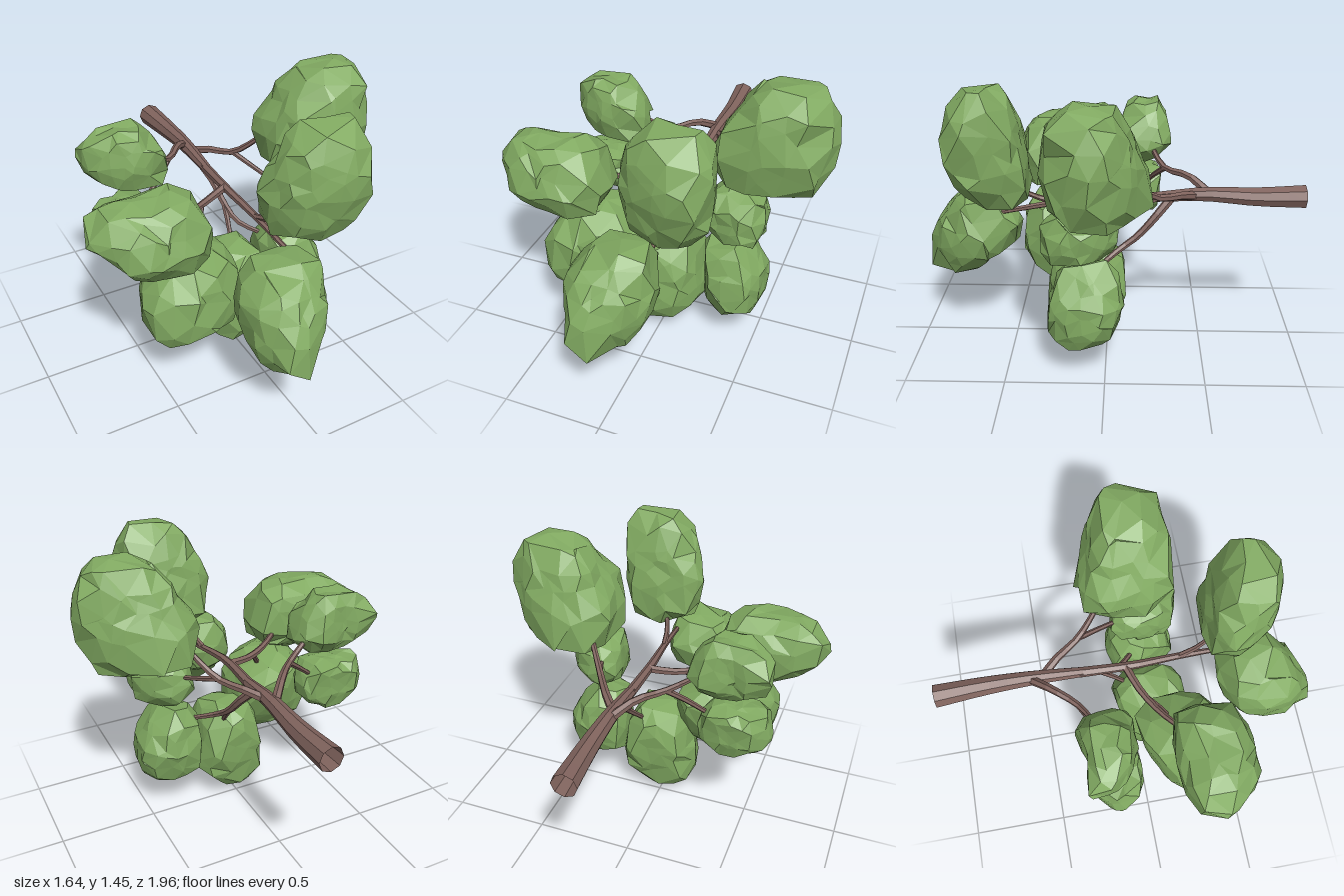
import * as THREE from 'three';
import { mergeVertices } from 'three/addons/utils/BufferGeometryUtils.js';

const leafMat = new THREE.MeshStandardMaterial({ color: 0x82ab62, flatShading: true });
const barkMat = new THREE.MeshStandardMaterial({ color: 0x80635d, flatShading: true, side: THREE.DoubleSide });

function seeded(seed) {
  let s = seed * 7919 + 17;
  return () => {
    s = (s * 16807) % 2147483647;
    return s / 2147483647;
  };
}

const middle = (outline, k) => {
  const v = outline.filter((_, i) => i % 2 === k);
  return (Math.min(...v) + Math.max(...v)) / 2;
};

// Distance from (cu, cv) along (du, dv) to a closed outline [u, v, u, v, ...]
function reach(outline, cu, cv, du, dv) {
  const n = outline.length;
  for (let i = 0; i < n; i += 2) {
    const au = outline[i] - cu, av = outline[i + 1] - cv;
    const eu = outline[(i + 2) % n] - cu - au, ev = outline[(i + 3) % n] - cv - av;
    const den = du * ev - dv * eu;
    const t = (au * ev - av * eu) / den;
    const s = (au * dv - av * du) / den;
    if (t > 0 && s >= -1e-6 && s <= 1 + 1e-6) return t;
  }
  return 1e3;
}

// Faceted leaf clump: a roughened ball that fills its front (x, y), side (z, y) and top (x, z) outlines
function leafClump(name, seed, front, side, top) {
  const rand = seeded(seed);
  for (let i = 0; i < 5; i++) rand();
  let geo = new THREE.IcosahedronGeometry(1, 2);
  geo.deleteAttribute('normal');
  geo.deleteAttribute('uv');
  geo = mergeVertices(geo, 1e-3);
  const cx = middle(front, 0), cy = middle(front, 1), cz = middle(top, 1);
  const pos = geo.attributes.position;
  const p = new THREE.Vector3();
  const jitter = (amount) => (rand() - 0.5) * amount;
  for (let i = 0; i < pos.count; i++) {
    p.fromBufferAttribute(pos, i);
    p.set(p.x + jitter(0.3), p.y + jitter(0.3), p.z + jitter(0.3)).normalize();
    const limits = [
      reach(front, cx, cy, p.x, p.y),
      reach(side, cz, cy, p.z, p.y),
      reach(top, cx, cz, p.x, p.z),
    ];
    const r = limits.reduce((sum, d) => sum + d ** -6, 0) ** (-1 / 6);
    p.multiplyScalar(r * (1.06 + jitter(0.11)));
    pos.setXYZ(i, cx + p.x, Math.max(0, cy + p.y), cz + p.z);
  }
  geo.computeVertexNormals();
  const mesh = new THREE.Mesh(geo, leafMat);
  mesh.name = name;
  return mesh;
}

// Tapered tube through the given points, from radius r0 to r1
function branch(name, points, r0, r1, sides = 6) {
  const curve = new THREE.CatmullRomCurve3(points.map((q) => new THREE.Vector3(...q)));
  const steps = points.length * 2;
  const geo = new THREE.TubeGeometry(curve, steps, 1, sides, false);
  const pos = geo.attributes.position;
  const p = new THREE.Vector3();
  for (let i = 0; i < pos.count; i++) {
    const t = Math.floor(i / (sides + 1)) / steps;
    const c = curve.getPointAt(t);
    p.fromBufferAttribute(pos, i).sub(c).multiplyScalar(r0 + (r1 - r0) * t).add(c);
    pos.setXYZ(i, p.x, p.y, p.z);
  }
  geo.computeVertexNormals();
  const mesh = new THREE.Mesh(geo, barkMat);
  mesh.name = name;
  return mesh;
}

export function createModel() {
  const model = new THREE.Group();
  model.name = 'leafyBranch';

  // Foliage
  const foliage = new THREE.Group();
  foliage.name = 'foliage';
  foliage.add(
    leafClump('upperLeftClump', 3,
      [0.2, 1, 0.22, 1.12, 0.42, 1.42, 0.55, 1.49, 0.66, 1.505, 0.74, 1.47, 0.855, 1.25, 0.76, 0.95, 0.4, 0.91],
      [0.26, 1.37, 0.12, 1.5, -0.02, 1.5, -0.07, 1.43, -0.14, 1.24, -0.25, 1.05, -0.25, 0.95, 0, 0.9, 0.27, 0.95, 0.3, 1.15],
      [0.21, -0.16, 0.42, -0.255, 0.56, -0.19, 0.79, -0.02, 0.855, 0.06, 0.71, 0.25, 0.46, 0.31, 0.24, 0.24]),
    leafClump('upperFrontClump', 4,
      [-0.09, 1.1, 0, 1.3, 0.1, 1.43, 0.22, 1.485, 0.35, 1.47, 0.42, 1.3, 0.42, 1.12, 0.35, 0.89, 0.19, 0.82, 0, 0.89],
      [0.58, 1.485, 0.48, 1.45, 0.4, 1.15, 0.36, 0.91, 0.44, 0.83, 0.6, 0.86, 0.68, 0.92, 0.79, 1.16, 0.79, 1.26, 0.73, 1.42],
      [-0.09, 0.5, -0.03, 0.39, 0.17, 0.33, 0.32, 0.37, 0.44, 0.61, 0.37, 0.76, 0.26, 0.78, 0.03, 0.69]),
    leafClump('sideRightClump', 5,
      [-0.86, 0.97, -0.84, 1.065, -0.55, 1.13, -0.34, 1.13, -0.22, 0.97, -0.2, 0.89, -0.27, 0.77, -0.41, 0.7, -0.6, 0.77, -0.75, 0.89],
      [0.53, 0.9, 0.45, 1.05, 0.36, 1.13, 0.2, 1.13, 0.1, 1, 0.12, 0.8, 0.25, 0.7, 0.45, 0.75],
      [-0.86, 0.26, -0.82, 0.2, -0.61, 0.1, -0.26, 0.13, -0.19, 0.34, -0.32, 0.49, -0.63, 0.53, -0.79, 0.34]),
    leafClump('backRightUpperClump', 6,
      [-0.66, 1.12, -0.5, 1.24, -0.34, 1.24, -0.21, 1.05, -0.22, 0.96, -0.35, 0.88, -0.6, 0.98],
      [-0.04, 1.1, -0.12, 1.24, -0.3, 1.23, -0.35, 1, -0.2, 0.88, -0.06, 0.92],
      [-0.66, -0.33, -0.58, -0.32, -0.45, -0.29, -0.32, -0.36, -0.21, -0.26, -0.2, -0.16, -0.26, -0.05, -0.45, -0.06, -0.66, -0.19]),
    leafClump('backRightLowerClump', 7,
      [-0.66, 0.7, -0.6, 0.61, -0.5, 0.57, -0.3, 0.6, -0.25, 0.75, -0.35, 0.86, -0.6, 0.84],
      [-0.3, 0.83, -0.28, 0.67, -0.26, 0.57, -0.14, 0.58, -0.04, 0.7, -0.04, 0.82, -0.16, 0.86],
      [-0.66, -0.2, -0.55, -0.3, -0.35, -0.31, -0.25, -0.2, -0.3, -0.05, -0.5, -0.02, -0.64, -0.1]),
    leafClump('frontClump', 8,
      [-0.27, 0.58, -0.22, 0.8, -0.06, 0.87, 0.12, 0.87, 0.185, 0.58, 0.1, 0.45, -0.04, 0.33, -0.2, 0.35],
      [1, 0.43, 0.98, 0.54, 0.81, 0.78, 0.73, 0.86, 0.52, 0.82, 0.44, 0.7, 0.465, 0.58, 0.63, 0.49, 0.73, 0.36, 0.82, 0.31, 0.98, 0.39],
      [-0.29, 0.66, -0.21, 0.53, -0.1, 0.45, 0.08, 0.4, 0.2, 0.71, 0.08, 0.85, -0.09, 1, -0.14, 0.98, -0.26, 0.77]),
    leafClump('lowerRightClump', 9,
      [-0.605, 0.55, -0.605, 0.43, -0.51, 0.29, -0.32, 0.29, -0.19, 0.25, -0.06, 0.3, 0, 0.6, -0.25, 0.76, -0.34, 0.77, -0.5, 0.66],
      [0.5, 0.43, 0.465, 0.6, 0.38, 0.78, 0.1, 0.78, -0.04, 0.7, -0.02, 0.55, 0.15, 0.3, 0.33, 0.25, 0.42, 0.32],
      [-0.6, 0.25, -0.55, 0.45, -0.38, 0.52, -0.28, 0.5, -0.13, 0.42, -0.02, 0.2, -0.1, -0.03, -0.23, -0.05, -0.4, 0.05]),
    leafClump('bottomClump', 10,
      [-0.19, 0.22, -0.19, 0.13, 0, 0, 0.165, 0.18, 0.235, 0.2, 0.21, 0.36, 0.14, 0.55, 0, 0.62, -0.12, 0.5, -0.18, 0.35],
      [0.33, 0.3, 0.32, 0.11, 0.1, 0, -0.05, 0.09, -0.07, 0.25, -0.12, 0.41, -0.11, 0.57, 0.05, 0.62, 0.25, 0.55],
      [-0.2, 0.1, -0.12, -0.05, 0.05, -0.1, 0.17, -0.13, 0.24, 0, 0.2, 0.2, 0.1, 0.33, -0.1, 0.33]),
    leafClump('lowerLeftClump', 11,
      [0.2, 0.36, 0.19, 0.57, 0.26, 0.63, 0.39, 0.64, 0.53, 0.45, 0.55, 0.36, 0.51, 0.22, 0.37, 0.14, 0.23, 0.15],
      [0.3, 0.35, 0.22, 0.62, -0.02, 0.65, -0.1, 0.43, -0.06, 0.27, 0.12, 0.15, 0.29, 0.25],
      [0.18, 0.05, 0.25, -0.1, 0.4, -0.11, 0.53, 0, 0.55, 0.15, 0.45, 0.29, 0.28, 0.3]),
    leafClump('middleLeftClump', 12,
      [0.22, 0.8, 0.22, 0.71, 0.3, 0.64, 0.39, 0.63, 0.52, 0.68, 0.54, 0.82, 0.51, 0.91, 0.35, 0.96, 0.26, 0.91],
      [0.315, 0.78, 0.3, 0.86, 0.17, 0.95, 0.04, 0.94, -0.07, 0.89, -0.08, 0.7, 0.14, 0.63, 0.3, 0.67],
      [0.22, 0.05, 0.28, -0.07, 0.42, -0.05, 0.54, 0.1, 0.55, 0.22, 0.45, 0.32, 0.27, 0.24])
  );
  model.add(foliage);

  // Main stem runs from the back to the front, open at its cut end
  const wood = new THREE.Group();
  wood.name = 'wood';
  wood.add(
    branch('mainStemBase', [[0.06, 0.86, -1], [0.07, 0.86, -0.75], [0.065, 0.87, -0.5], [0.06, 0.85, -0.25]], 0.062, 0.027, 8),
    branch('mainStemTip', [[0.06, 0.85, -0.27], [0.05, 0.85, 0], [0.07, 0.82, 0.25], [0.09, 0.77, 0.55]], 0.027, 0.012)
  );

  // Side branches and twigs: points, start radius, end radius
  [
    ['backRightBranch', [[0.06, 0.87, -0.52], [-0.03, 0.93, -0.42], [-0.14, 0.935, -0.3], [-0.3, 1.02, -0.22]], 0.024, 0.012],
    ['backRightTwig', [[-0.14, 0.935, -0.3], [-0.22, 0.87, -0.25], [-0.4, 0.72, -0.17]], 0.016, 0.01],
    ['upperLeftBranch', [[0.06, 0.86, -0.46], [0.14, 0.89, -0.37], [0.22, 0.91, -0.25], [0.34, 1.06, -0.1]], 0.024, 0.012],
    ['middleLeftTwig', [[0.22, 0.91, -0.25], [0.27, 0.87, -0.14], [0.36, 0.8, 0.08]], 0.015, 0.01],
    ['lowerBranch', [[0.06, 0.85, -0.33], [0.1, 0.76, -0.25], [0.12, 0.66, -0.16], [0.15, 0.59, -0.06], [0.27, 0.53, 0.06]], 0.024, 0.012],
    ['bottomTwig', [[0.12, 0.66, -0.16], [0.1, 0.57, -0.07], [0.06, 0.45, 0.05]], 0.016, 0.01],
    ['sideRightBranch', [[0.05, 0.85, -0.03], [-0.08, 0.83, 0.02], [-0.22, 0.84, 0.1], [-0.4, 0.9, 0.24]], 0.022, 0.012],
    ['lowerRightTwig', [[-0.12, 0.83, 0.04], [-0.18, 0.75, 0.12], [-0.28, 0.6, 0.22]], 0.015, 0.01],
    ['upperFrontTwig', [[0.07, 0.82, 0.25], [0.09, 0.86, 0.36], [0.15, 0.96, 0.5]], 0.016, 0.01],
  ].forEach((b) => wood.add(branch(...b)));
  model.add(wood);

  return model;
}
